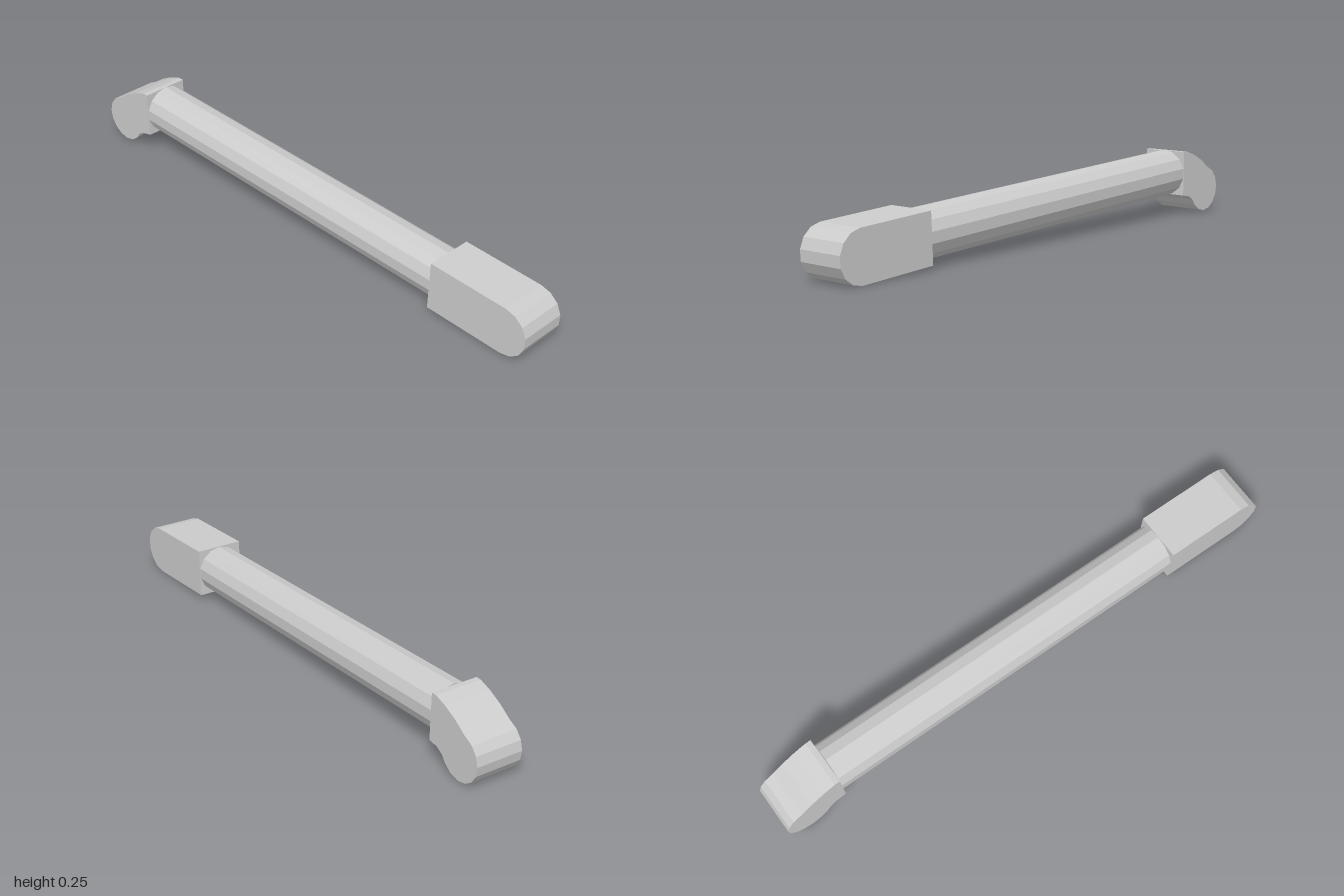
import * as THREE from 'three';

const HALF_DEPTH = 0.0865;
const material = new THREE.MeshStandardMaterial({ color: 0xcccccc, flatShading: true });

// Points along a circular arc, angles in degrees
function arc(cx, cy, r, from, to, steps) {
  return Array.from({ length: steps + 1 }, (_, i) => {
    const a = THREE.MathUtils.degToRad(from + ((to - from) * i) / steps);
    return new THREE.Vector2(cx + r * Math.cos(a), cy + r * Math.sin(a));
  });
}

const points = (...list) => list.map(([x, y]) => new THREE.Vector2(x, y));

// Side profile extruded across the full depth
function slab(name, outline) {
  const geometry = new THREE.ExtrudeGeometry(new THREE.Shape(outline), {
    depth: HALF_DEPTH * 2, bevelEnabled: false,
  });
  geometry.translate(0, 0, -HALF_DEPTH);
  const mesh = new THREE.Mesh(geometry, material);
  mesh.name = name;
  return mesh;
}

export function createModel() {
  const group = new THREE.Group();
  group.name = 'linkRod';

  // Slightly sloping 14-sided rod with an edge line along its top
  const start = new THREE.Vector2(-0.775, 0.163);
  const end = new THREE.Vector2(0.61, 0.106);
  const rodGeometry = new THREE.CylinderGeometry(
    HALF_DEPTH, HALF_DEPTH, start.distanceTo(end), 14, 1, false, Math.PI / 2);
  rodGeometry.rotateZ(-Math.PI / 2);
  const rod = new THREE.Mesh(rodGeometry, material);
  rod.name = 'rod';
  rod.position.set((start.x + end.x) / 2, (start.y + end.y) / 2, 0);
  rod.rotation.z = Math.atan2(end.y - start.y, end.x - start.x);
  group.add(rod);

  // Straight end block with a rounded tip
  group.add(slab('straightEnd', [
    ...points([0.613, 0.194], [0.606, 0.019]),
    ...arc(0.912, 0.092, 0.088, -93, 87, 7),
  ]));

  // Hooked end: curved back, round tip, hollow underside
  group.add(slab('hookedEnd', [
    ...points([-0.772, 0.08], [-0.775, 0.246], [-0.795, 0.246], [-0.84, 0.231],
      [-0.89, 0.206], [-0.935, 0.175]),
    ...arc(-0.915, 0.092, 0.085, 130, 318, 8),
    ...points([-0.835, 0.058], [-0.81, 0.073]),
  ].reverse()));

  return group;
}
